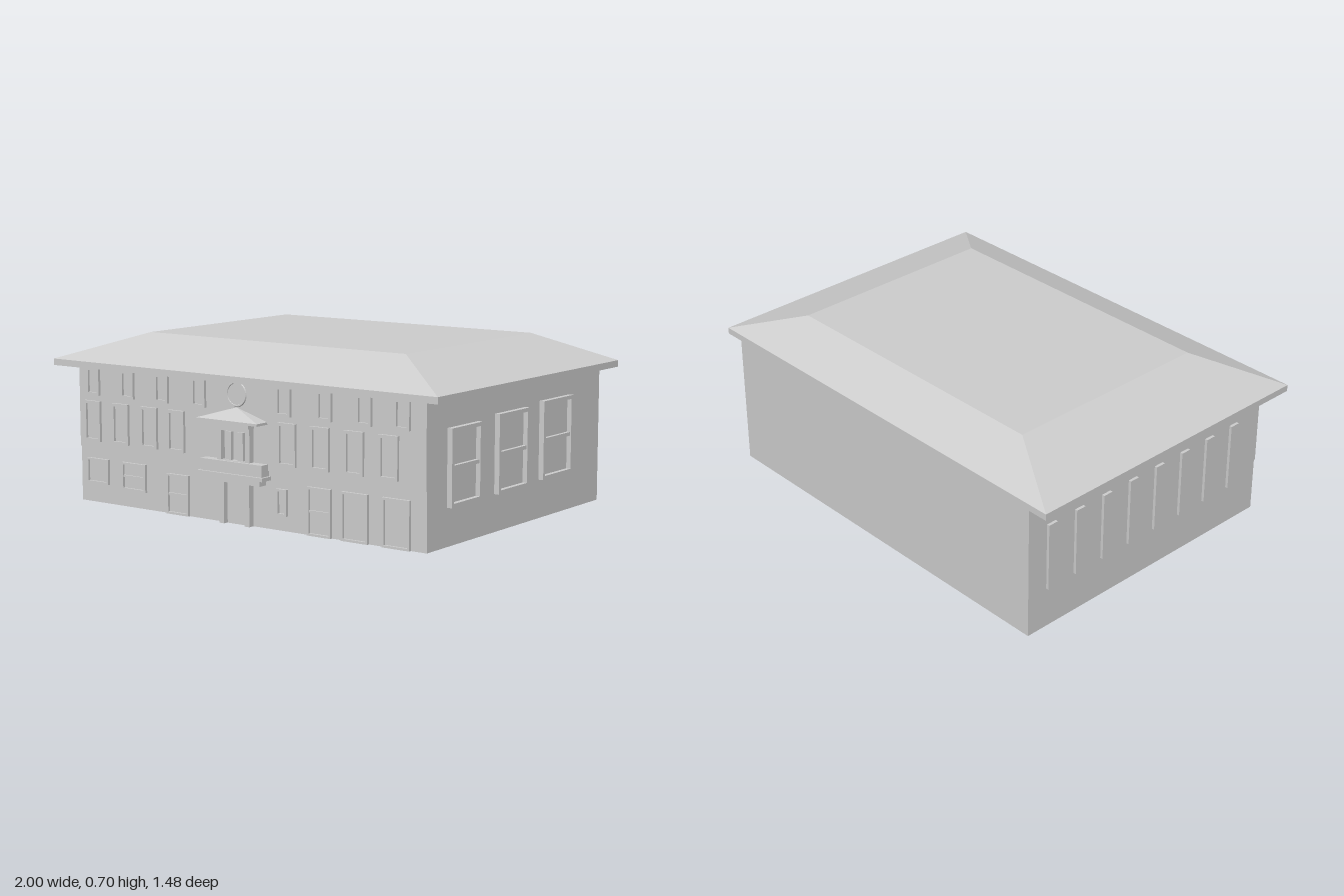
import * as THREE from 'three';

const grey = new THREE.MeshStandardMaterial({ color: 0xcccccc, flatShading: true });
const WALL_X = 0.867, FRONT_LOW = 0.605, FRONT = 0.611, BACK = -0.672;

function add(parent, name, geometry, x = 0, y = 0, z = 0) {
  const mesh = new THREE.Mesh(geometry, grey);
  mesh.name = name;
  mesh.position.set(x, y, z);
  parent.add(mesh);
  return mesh;
}

// Box given by its limits on each axis
function block(parent, name, x0, x1, y0, y1, z0, z1) {
  return add(parent, name, new THREE.BoxGeometry(x1 - x0, y1 - y0, z1 - z0),
    (x0 + x1) / 2, (y0 + y1) / 2, (z0 + z1) / 2);
}

function rectangle(target, w, h) {
  target.moveTo(-w / 2, -h / 2);
  target.lineTo(w / 2, -h / 2);
  target.lineTo(w / 2, h / 2);
  target.lineTo(-w / 2, h / 2);
  target.closePath();
  return target;
}

// Framed opening facing local +z, its back on z = 0
function makeWindow(name, w, h, { border = 0.012, depth = 0.012, bars = 0 } = {}) {
  const group = new THREE.Group();
  group.name = name;
  const shape = rectangle(new THREE.Shape(), w, h);
  shape.holes.push(rectangle(new THREE.Path(), w - 2 * border, h - 2 * border));
  add(group, 'frame', new THREE.ExtrudeGeometry(shape, { depth, bevelEnabled: false }));
  block(group, 'pane', -w / 2 + border, w / 2 - border, -h / 2 + border, h / 2 - border, -0.002, 0.002);
  for (let i = 1; i <= bars; i++) {
    const y = -h / 2 + (h * i) / (bars + 1);
    block(group, 'crossBar', -w / 2 + border, w / 2 - border, y - border / 2, y + border / 2, 0, depth * 0.8);
  }
  return group;
}

function frontWindow(parent, name, x, w, y0, y1, options) {
  const win = makeWindow(name, w, y1 - y0, options);
  win.position.set(x, (y0 + y1) / 2, y0 < 0.2 ? FRONT_LOW : FRONT);
  parent.add(win);
}

function buildWalls(house) {
  block(house, 'lowerWalls', -WALL_X, WALL_X, 0, 0.23, BACK, FRONT_LOW);
  block(house, 'upperWalls', -WALL_X, WALL_X, 0.23, 0.57, BACK, FRONT);
}

function buildRoof(house) {
  block(house, 'eaves', -0.954, 0.954, 0.568, 0.595, -0.672, 0.671);
  // Hipped slopes: pull the top corners of a box inwards
  const hip = new THREE.BoxGeometry(1.908, 0.11, 1.343);
  const p = hip.attributes.position;
  for (let i = 0; i < p.count; i++) {
    if (p.getY(i) > 0) {
      p.setX(i, p.getX(i) > 0 ? 0.647 : -0.632);
      p.setZ(i, p.getZ(i) > 0 ? 0.427 : -0.483);
    }
  }
  hip.computeVertexNormals();
  add(house, 'hippedRoof', hip, 0, 0.65, 0);
}

function buildFacade(house) {
  for (const x of [-0.785, -0.595, -0.41, -0.215, 0.21, 0.406, 0.59, 0.763])
    frontWindow(house, 'atticWindow', x, 0.07, 0.45, 0.566);
  for (const x of [-0.79, -0.635, -0.48, -0.335, 0.226, 0.384, 0.544, 0.702])
    frontWindow(house, 'upperWindow', x, 0.088, 0.257, 0.426);
  // Ground floor: centre, width, bottom, top, bars
  const ground = [
    [-0.77, 0.12, 0.08, 0.185, 0],
    [-0.57, 0.13, 0.07, 0.185, 1],
    [-0.333, 0.115, 0, 0.165, 1],
    [0.197, 0.05, 0.06, 0.165, 0],
    [0.378, 0.112, 0, 0.19, 1],
    [0.544, 0.123, 0, 0.19, 0],
    [0.734, 0.125, 0, 0.19, 0],
  ];
  for (const [x, w, y0, y1, bars] of ground)
    frontWindow(house, 'groundWindow', x, w, y0, y1, { bars, border: 0.009 });
}

function buildEntrance(house) {
  const entrance = new THREE.Group();
  entrance.name = 'entrance';
  entrance.position.set(-0.025, 0, FRONT);
  house.add(entrance);

  // Front door between two posts
  for (const s of [-1, 1])
    block(entrance, 'doorPost', s * 0.064 - 0.012, s * 0.064 + 0.012, 0, 0.175, -0.01, 0.02);
  block(entrance, 'frontDoor', -0.05, 0.05, 0, 0.17, -0.01, 0);

  // Balcony
  block(entrance, 'balconyBase', -0.14, 0.14, 0.17, 0.195, -0.01, 0.035);
  block(entrance, 'balconyLedge', -0.165, 0.165, 0.193, 0.208, -0.01, 0.05);
  block(entrance, 'balconyParapet', -0.155, 0.155, 0.208, 0.255, -0.01, 0.04);

  // Balcony doorway with slim columns
  const door = makeWindow('balconyDoor', 0.165, 0.16, { border: 0.022, depth: 0.025 });
  door.position.y = 0.315;
  entrance.add(door);
  for (const x of [-0.03, 0.03])
    block(entrance, 'balconyColumn', x - 0.014, x + 0.014, 0.25, 0.37, 0, 0.018);

  // Canopy: a half pyramid against the wall
  block(entrance, 'canopyBase', -0.085, 0.085, 0.39, 0.412, -0.01, 0.035);
  block(entrance, 'canopySlab', -0.152, 0.152, 0.41, 0.42, -0.01, 0.065);
  const pyramid = new THREE.ConeGeometry(Math.SQRT2, 0.045, 4, 1).rotateY(Math.PI / 4).scale(0.152, 1, 0.065);
  add(entrance, 'canopyRoof', pyramid, 0, 0.4425, 0);

  // Round window above
  add(entrance, 'roundWindowFrame', new THREE.TorusGeometry(0.046, 0.005, 6, 32), 0, 0.517, 0.001);
  add(entrance, 'roundWindowPane', new THREE.CylinderGeometry(0.045, 0.045, 0.006, 32).rotateX(Math.PI / 2), 0, 0.517, 0);
}

function buildSides(house) {
  // Sash windows: z limits and y limits
  const sashes = [
    [0.263, 0.473, 0.15, 0.45],
    [-0.08, 0.142, 0.15, 0.463],
    [-0.422, -0.19, 0.157, 0.474],
  ];
  for (const [z0, z1, y0, y1] of sashes) {
    const win = makeWindow('sideWindow', z1 - z0, y1 - y0, { border: 0.015, depth: 0.022, bars: 1 });
    win.rotation.y = Math.PI / 2;
    win.position.set(WALL_X, (y0 + y1) / 2, (z0 + z1) / 2);
    house.add(win);
  }
  // Row of upright slats on the other end wall
  for (let i = 0; i < 8; i++) {
    const z = -0.557 + i * 0.1445;
    block(house, 'wallSlat', -WALL_X - 0.012, -WALL_X + 0.005, 0.175, 0.465, z - 0.022, z + 0.022);
  }
}

export function createModel() {
  const model = new THREE.Group();
  model.name = 'building';
  const house = new THREE.Group();
  house.name = 'house';
  house.rotation.y = 0.0725; // stands slightly turned
  model.add(house);
  buildWalls(house);
  buildRoof(house);
  buildFacade(house);
  buildEntrance(house);
  buildSides(house);
  return model;
}
